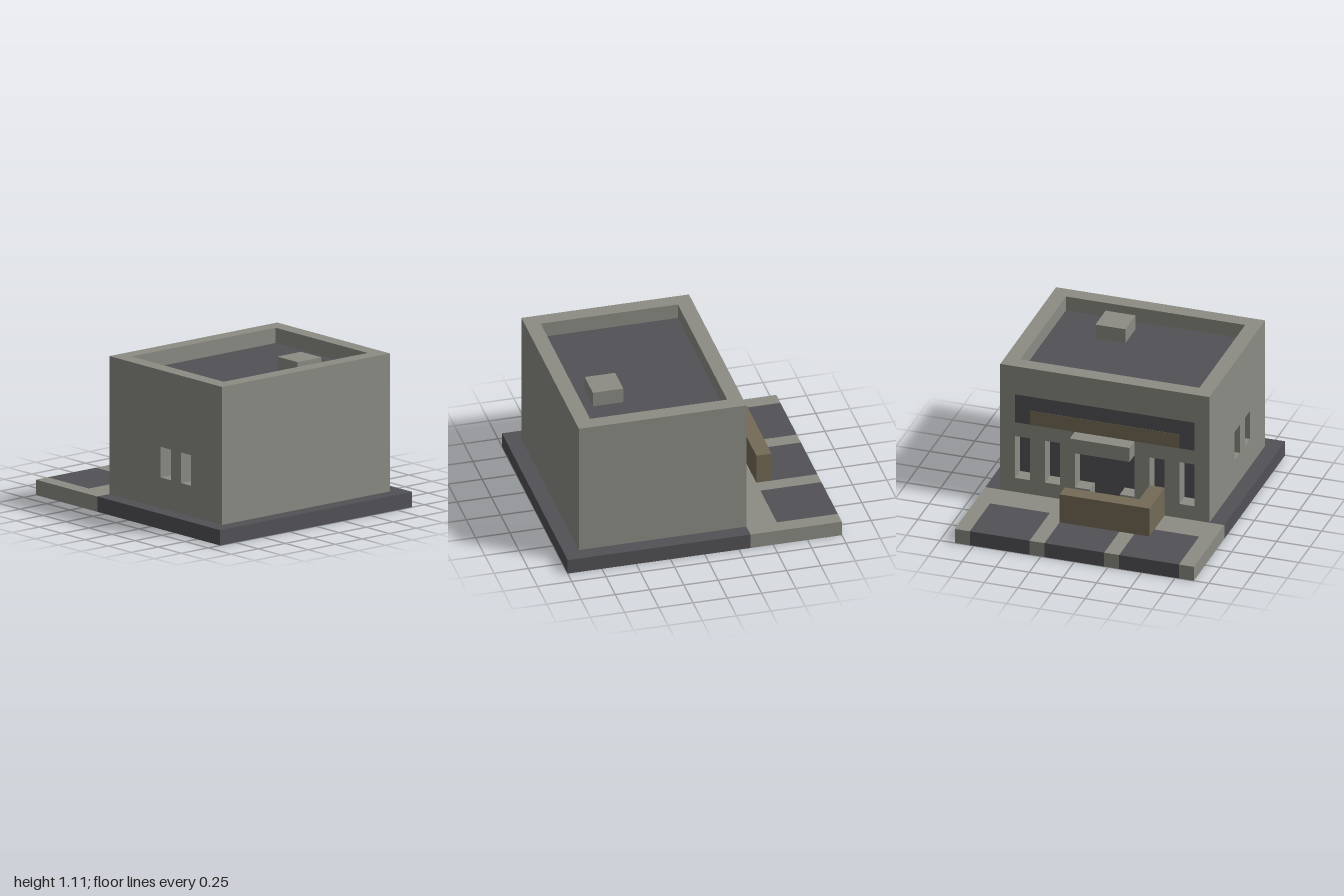
import * as THREE from 'three';

// Modelled on a whole-number grid, 9 cells to one unit
const CELL = 1 / 9;

export function createModel() {
  const concrete = new THREE.MeshStandardMaterial({ name: 'concrete', color: 0x8c8c84 });
  const asphalt = new THREE.MeshStandardMaterial({ name: 'asphalt', color: 0x525156 });
  const wood = new THREE.MeshStandardMaterial({ name: 'brownTimber', color: 0x746a56 });

  const group = new THREE.Group();
  group.name = 'shopBuilding';
  const model = new THREE.Group();
  model.name = 'gridModel';
  model.scale.setScalar(CELL);
  group.add(model);

  const add = (name, geometry, material) => {
    const mesh = new THREE.Mesh(geometry, material);
    mesh.name = name;
    model.add(mesh);
    return mesh;
  };

  // Box given by its low and high corner on each axis
  const box = (name, material, [x0, x1], [y0, y1], [z0, z1]) => {
    const g = new THREE.BoxGeometry(x1 - x0, y1 - y0, z1 - z0);
    g.translate((x0 + x1) / 2, (y0 + y1) / 2, (z0 + z1) / 2);
    return add(name, g, material);
  };

  // One-cell-thick wall outline with openings
  const wallGeometry = (outline, openings) => {
    const shape = new THREE.Shape(outline.map(([x, y]) => new THREE.Vector2(x, y)));
    for (const [a0, a1, b0, b1] of openings) {
      shape.holes.push(new THREE.Path([[a0, b0], [a0, b1], [a1, b1], [a1, b0]]
        .map(([x, y]) => new THREE.Vector2(x, y))));
    }
    return new THREE.ExtrudeGeometry(shape, { depth: 1, bevelEnabled: false });
  };

  // Ground slab: dark surround, pale floor and forecourt
  box('frontKerb', asphalt, [-8, 8], [0, 1], [8, 9]);
  for (const x of [-8, 7]) box('sideKerb', asphalt, [x, x + 1], [0, 1], [-3, 8]);
  box('buildingFloor', concrete, [-7, 7], [0, 1], [-3, 8]);
  box('forecourt', concrete, [-8, 8], [0, 1], [-5, -3]);
  for (const x of [-8, -3, 2, 7]) box('forecourtStrip', concrete, [x, x + 1], [0, 1], [-9, -5]);
  for (const x of [-7, -2, 3]) box('parkingBay', asphalt, [x, x + 4], [0, 1], [-9, -5]);

  // Dark core: roof deck on top, dark backing behind the openings
  box('roofDeckAndInterior', asphalt, [-6, 6], [1, 9], [-2, 7]);

  // Entrance wall with door notch and four tall windows
  const entrance = wallGeometry(
    [[-7, 1], [-1, 1], [-1, 2], [-2, 2], [-2, 5], [2, 5], [2, 2], [1, 2], [1, 1], [7, 1], [7, 10], [-7, 10]],
    [-6, -4, 3, 5].map((x) => [x, x + 1, 2, 5]));
  add('entranceWall', entrance, concrete).position.z = -3;

  // Side wall with two small windows, then the plain walls
  const windowWall = wallGeometry([[-2, 1], [8, 1], [8, 10], [-2, 10]], [[2, 3, 3, 5], [4, 5, 3, 5]]);
  windowWall.rotateY(-Math.PI / 2);
  add('windowSideWall', windowWall, concrete).position.x = -6;
  box('plainSideWall', concrete, [6, 7], [1, 10], [-2, 8]);
  box('plainFrontWall', concrete, [-6, 6], [1, 10], [7, 8]);

  // Roof unit, canopy and sign band
  box('roofUnit', concrete, [1, 3], [9, 10], [4, 6]);
  box('doorCanopy', concrete, [-2, 2], [5, 6], [-4, -3]);
  box('signBand', asphalt, [-6, 6], [6, 8], [-3.02, -3]);
  box('signStripe', wood, [-5, 5], [6, 7], [-3.04, -3.02]);

  // L-shaped terrace wall
  box('terraceWallLong', wood, [-4, 2], [1, 3], [-6, -5]);
  box('terraceWallShort', wood, [-4, -3], [1, 3], [-5, -3]);

  return group;
}
